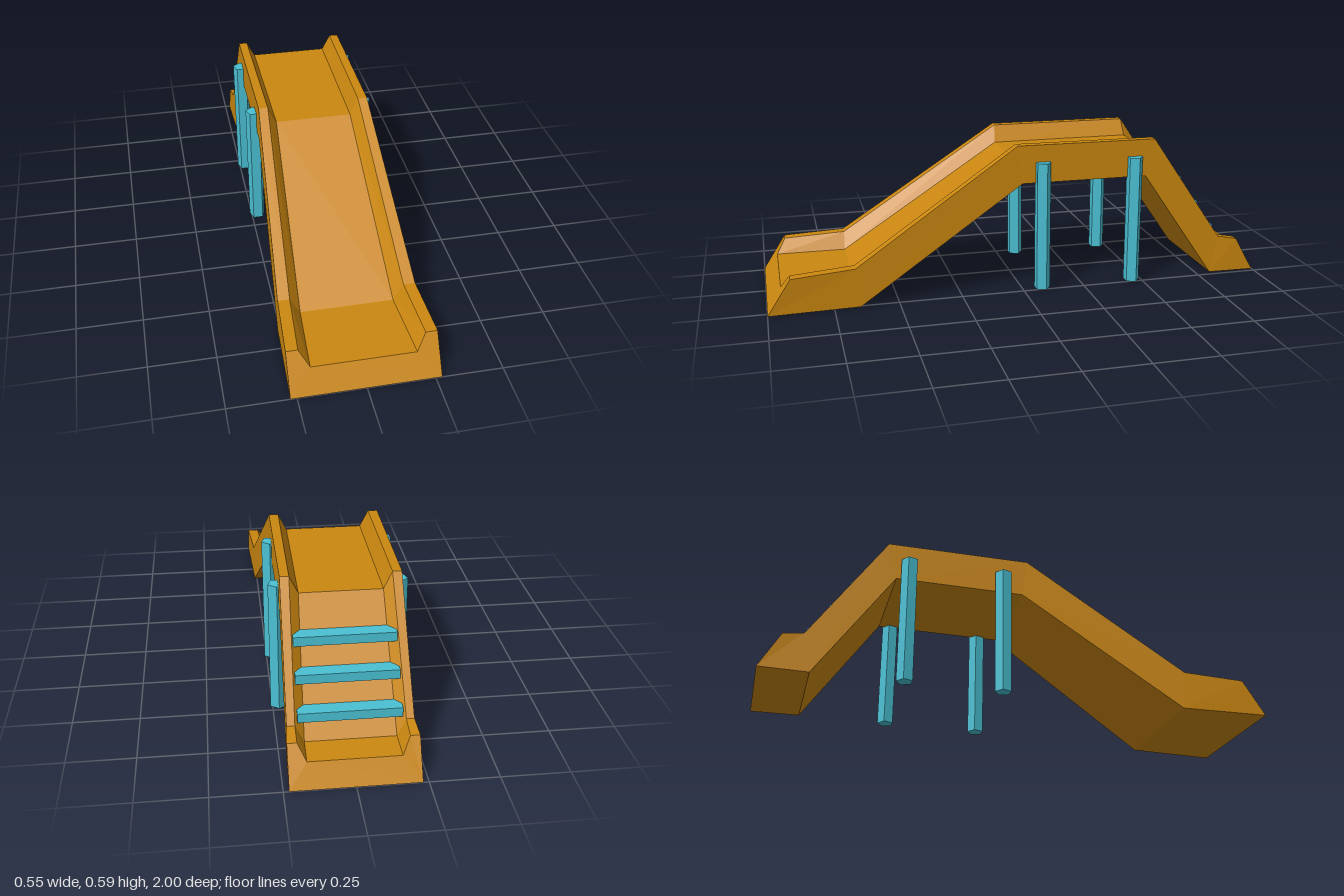
import * as THREE from 'three';

const orange = new THREE.MeshStandardMaterial({ color: 0xca8710 });
orange.name = 'orange';
const blue = new THREE.MeshStandardMaterial({ color: 0x4bc0d4 });
blue.name = 'blue';

// Trough cross-sections from the front lip to the back lip:
// bottom [z, y], rail top [z, y], floor [z, y], half widths [outer, rail inner, floor]
const stations = [
  { bottom: [1, 0], top: [0.91, 0.14], floor: [0.945, 0.085], half: [0.274, 0.23, 0.193] },
  { bottom: [0.65, 0], top: [0.665, 0.155], floor: [0.668, 0.089], half: [0.26, 0.215, 0.177] },
  { bottom: [0.0, 0.435], top: [0.02, 0.587], floor: [0.025, 0.52], half: [0.219, 0.182, 0.15] },
  { bottom: [-0.51, 0.435], top: [-0.545, 0.585], floor: [-0.55, 0.52], half: [0.219, 0.185, 0.153] },
  { bottom: [-0.81, 0], top: [-0.84, 0.155], floor: [-0.845, 0.09], half: [0.224, 0.195, 0.163] },
  { bottom: [-1, 0], top: [-0.92, 0.14], floor: [-0.955, 0.085], half: [0.23, 0.195, 0.165] },
];

function buildTrough() {
  const rings = stations.map(({ bottom, top, floor, half }) => {
    const side = [
      [half[0], bottom[1], bottom[0]],
      [half[0], top[1], top[0]],
      [half[1], top[1], top[0]],
      [half[2], floor[1], floor[0]],
    ];
    const mirrored = side.map(([x, y, z]) => [-x, y, z]).reverse();
    return [...side, ...mirrored];
  });
  const positions = [];
  const quad = (a, b, c, d) => positions.push(...a, ...b, ...c, ...a, ...c, ...d);

  // Skin between neighbouring sections
  for (let i = 0; i < rings.length - 1; i++) {
    for (let j = 0; j < 8; j++) {
      const k = (j + 1) % 8;
      quad(rings[i][j], rings[i + 1][j], rings[i + 1][k], rings[i][k]);
    }
  }
  // End faces: two rail ends and the lip between them
  const first = rings[0], last = rings[rings.length - 1];
  for (const [a, b, c, d] of [[0, 1, 2, 3], [0, 3, 4, 7], [4, 5, 6, 7]]) {
    quad(first[a], first[b], first[c], first[d]);
    quad(last[d], last[c], last[b], last[a]);
  }
  const geometry = new THREE.BufferGeometry();
  geometry.setAttribute('position', new THREE.Float32BufferAttribute(positions, 3));
  geometry.computeVertexNormals();
  return geometry;
}

export function createModel() {
  const model = new THREE.Group();
  model.name = 'playgroundSlide';

  const add = (name, geometry, material, x, y, z) => {
    const mesh = new THREE.Mesh(geometry, material);
    mesh.name = name;
    mesh.position.set(x, y, z);
    model.add(mesh);
  };

  // Slide, platform and climbing ramp in one piece
  add('slideBody', buildTrough(), orange, 0, 0, 0);

  // Five-sided support posts
  const post = new THREE.CylinderGeometry(0.033, 0.033, 0.518, 5, 1, false, Math.PI).toNonIndexed();
  post.computeVertexNormals();
  for (const [place, z] of [['front', -0.08], ['back', -0.46]]) {
    for (const [side, sign] of [['Left', 1], ['Right', -1]]) {
      add(`${place}${side}Post`, post, blue, sign * 0.226, 0.259, z);
    }
  }

  // Steps let into the ramp floor and rails
  const step = new THREE.BoxGeometry(0.37, 0.036, 0.08);
  for (let i = 0; i < 3; i++) {
    add(`step${i + 1}`, step, blue, 0, 0.177 + i * 0.1085, -0.79 + i * 0.075);
  }

  return model;
}
